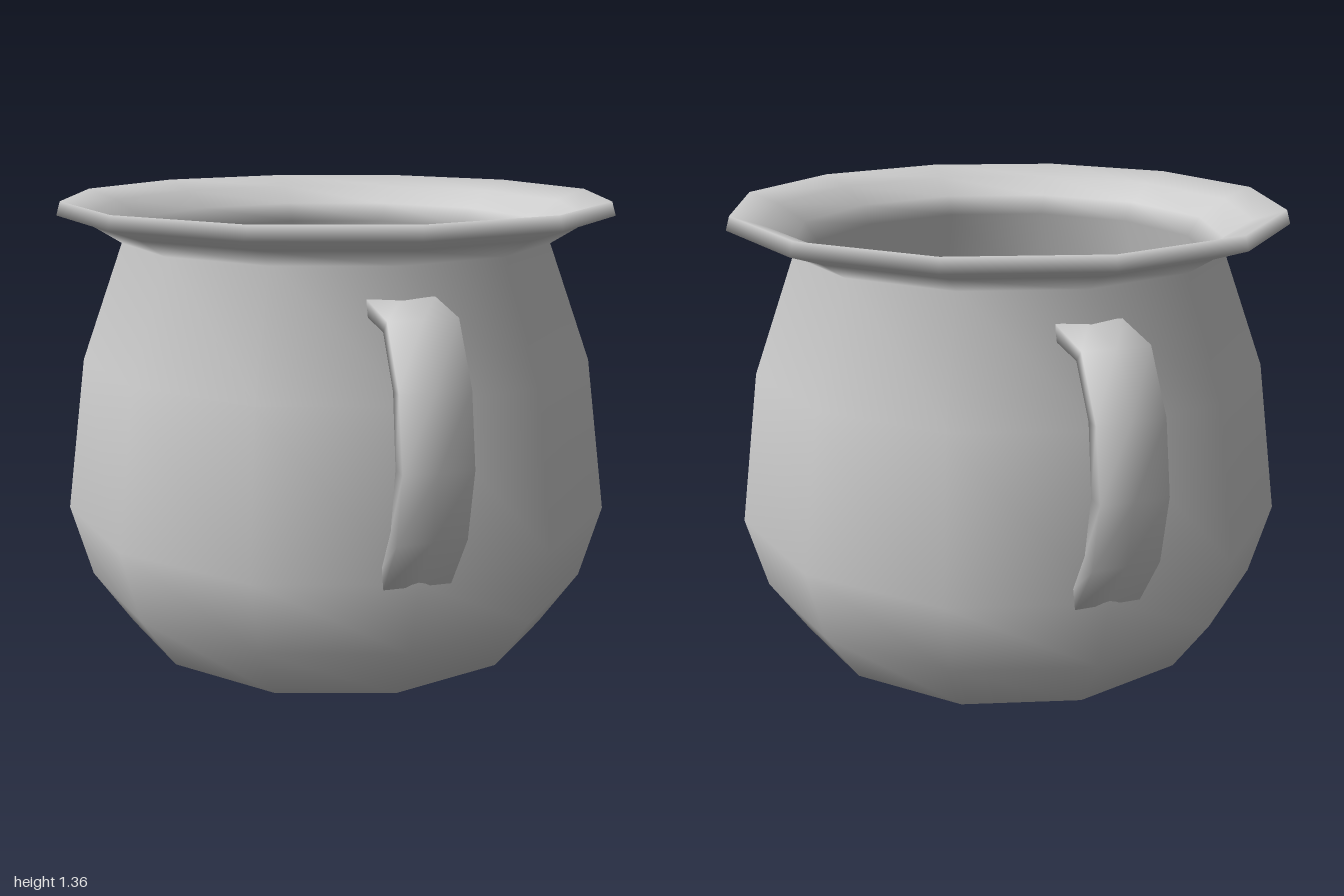
import * as THREE from 'three';

const grey = new THREE.MeshStandardMaterial({ color: 0xcccccc });

// Sweeps a flat strap along paired outer/inner [z, y] stations, with smooth shared corners
function strapGeometry(outer, inner, halfWidth) {
  const positions = [], index = [], n = outer.length;
  for (let i = 0; i < n; i++) {
    const [zo, yo] = outer[i], [zi, yi] = inner[i];
    positions.push(-halfWidth, yo, zo, 0, yo, zo, halfWidth, yo, zo);
    positions.push(halfWidth, yi, zi, -halfWidth, yi, zi);
  }
  for (let i = 0; i < n - 1; i++) {
    for (let k = 0; k < 5; k++) {
      const a = i * 5 + k, b = i * 5 + (k + 1) % 5;
      index.push(a, a + 5, b, b, a + 5, b + 5);
    }
  }
  // end caps
  const e = (n - 1) * 5;
  for (let k = 1; k < 4; k++) {
    index.push(0, k, k + 1);
    index.push(e, e + k + 1, e + k);
  }
  const geometry = new THREE.BufferGeometry();
  geometry.setAttribute('position', new THREE.Float32BufferAttribute(positions, 3));
  geometry.setIndex(index);
  geometry.computeVertexNormals();
  return geometry;
}

export function createModel() {
  const pot = new THREE.Group();
  pot.name = 'pot';

  // Body: outer wall, flared rim, inner wall and floor in one twelve-sided lathe
  const profile = [
    [0, 0], [0.68, 0], [0.8, 0.18], [0.862, 0.41], [0.795, 0.88], [0.665, 1.23],
    [0.745, 1.28], [0.852, 1.317], [0.84, 1.358],
    [0.745, 1.325], [0.66, 1.27], [0.62, 1.21],
    [0.75, 0.87], [0.81, 0.41], [0.755, 0.2], [0.65, 0.05], [0, 0.05],
  ].map(([r, y]) => new THREE.Vector2(r, y));
  const body = new THREE.Mesh(new THREE.LatheGeometry(profile, 12), grey);
  body.name = 'body';
  pot.add(body);

  // Handles: the same curved strap at front and back, starting at the lower end
  const outer = [[0.85, 0.4], [0.962, 0.566], [1, 0.764], [0.962, 0.962], [0.857, 1.123], [0.675, 1.147]];
  const inner = [[0.834, 0.455], [0.909, 0.587], [0.942, 0.764], [0.914, 0.957], [0.825, 1.09], [0.675, 1.102]];
  // run from top to bottom so the faces look outward
  const strap = strapGeometry(outer.reverse(), inner.reverse(), 0.095);
  ['frontHandle', 'backHandle'].forEach((name, i) => {
    const handle = new THREE.Mesh(strap, grey);
    handle.name = name;
    handle.rotation.y = i * Math.PI;
    pot.add(handle);
  });

  return pot;
}
